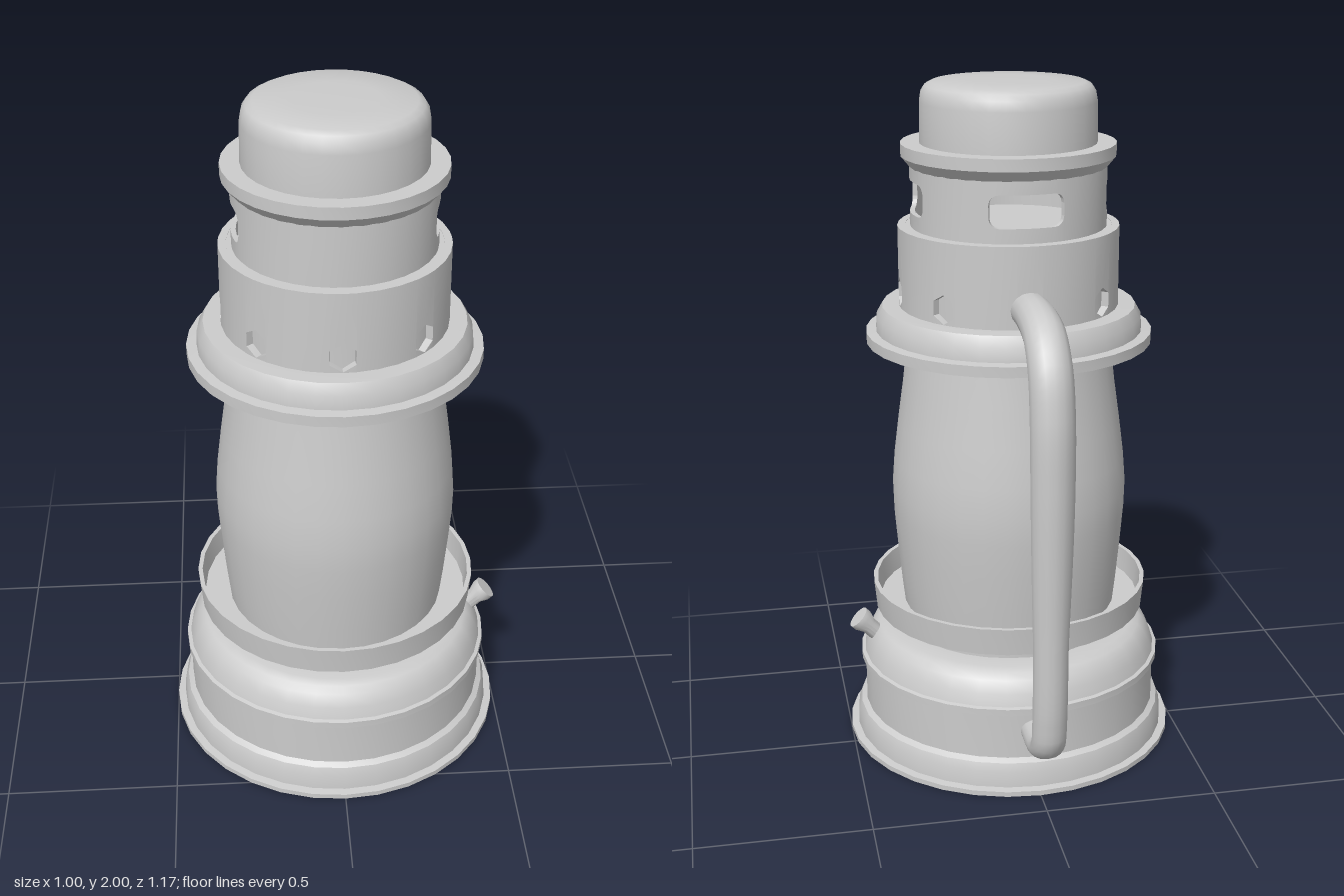
import * as THREE from 'three';
import { mergeGeometries, toCreasedNormals } from 'three/addons/utils/BufferGeometryUtils.js';

const AXIS_Z = 0.085; // the round body stands forward of centre, the handle behind it
const SIDES = 32;

export function createModel() {
  const model = new THREE.Group();
  model.name = 'lantern';
  const body = new THREE.Group();
  body.name = 'body';
  body.position.z = AXIS_Z;
  model.add(body);

  const material = new THREE.MeshStandardMaterial({ color: 0xcccccc });
  const add = (parent, name, geometry) => {
    const mesh = new THREE.Mesh(geometry, material);
    mesh.name = name;
    parent.add(mesh);
    return mesh;
  };

  // Turned part from [radius, height] pairs, listed from bottom to top
  const turned = (points, sides = SIDES, crease = 0.6) => toCreasedNormals(
    new THREE.LatheGeometry(points.map(([r, y]) => new THREE.Vector2(r, y)), sides), crease);

  // Cylindrical wall with openings. The opening is given as
  // [arc offset, half height] stations around each centre angle.
  function piercedWall(r, thick, y0, y1, yc, centres, opening) {
    const stations = [];
    centres.forEach((c, i) => {
      opening.forEach(([dx, h]) => stations.push([c + dx / r, h]));
      const start = c + opening[opening.length - 1][0] / r;
      const next = i + 1 < centres.length ? centres[i + 1] : centres[0] + Math.PI * 2;
      const end = next + opening[0][0] / r;
      const n = Math.ceil((end - start) / 0.19);
      for (let k = 0; k <= n; k++) stations.push([start + (end - start) * k / n, 0]);
    });
    const pieces = [];
    const panel = (a, b, la, lb, ha, hb) => {
      const shape = new THREE.Shape([
        new THREE.Vector2(a, la), new THREE.Vector2(b, lb),
        new THREE.Vector2(b, hb), new THREE.Vector2(a, ha)]);
      pieces.push(new THREE.ExtrudeGeometry(shape, { depth: thick, bevelEnabled: false }));
    };
    for (let i = 0; i + 1 < stations.length; i++) {
      const [a, ha] = stations[i];
      const [b, hb] = stations[i + 1];
      if (b - a < 1e-5) continue;
      if (ha > 0 && hb > 0) {
        panel(a, b, y0, y0, yc - ha, yc - hb);
        panel(a, b, yc + ha, yc + hb, y1, y1);
      } else panel(a, b, y0, y0, y1, y1);
    }
    const geometry = mergeGeometries(pieces);
    // Bend the flat strip around the axis
    const p = geometry.attributes.position;
    for (let i = 0; i < p.count; i++) {
      const angle = p.getX(i), radius = r - thick + p.getZ(i);
      p.setXYZ(i, Math.sin(angle) * radius, p.getY(i), Math.cos(angle) * radius);
    }
    return toCreasedNormals(geometry, 0.5);
  }

  // Fuel tank with foot, bead and rounded shoulder
  add(body, 'base', turned([
    [0, 0], [0.5, 0], [0.5, 0.015], [0.478, 0.018], [0.475, 0.065], [0.466, 0.09], [0.45, 0.1],
    [0.45, 0.24], [0.461, 0.242], [0.461, 0.262], [0.45, 0.265], [0.44, 0.3], [0.422, 0.335],
    [0.404, 0.352], [0.38, 0.36], [0.33, 0.362], [0.33, 0.42], [0, 0.42]]));

  // Open dish around the foot of the globe
  add(body, 'globeDish', turned([
    [0, 0.412], [0.41, 0.412], [0.418, 0.495], [0.405, 0.495], [0.397, 0.425], [0, 0.425]]));

  add(body, 'globe', turned([
    [0.322, 0.42], [0.331, 0.5], [0.342, 0.62], [0.35, 0.72], [0.352, 0.8],
    [0.345, 0.89], [0.331, 1.0], [0.314, 1.12], [0.298, 1.26]]));

  // Stepped collar resting on the globe
  add(body, 'collar', turned([
    [0, 1.25], [0.419, 1.25], [0.419, 1.281], [0.39, 1.284], [0.387, 1.325],
    [0.37, 1.355], [0.3, 1.357], [0, 1.357]]));

  // Lower chimney with hexagonal vents and an inner liner
  const around = (n) => Array.from({ length: n }, (_, i) => i * Math.PI * 2 / n);
  add(body, 'ventBand', piercedWall(0.32, 0.022, 1.35, 1.59, 1.4, around(8),
    [[-0.036, 0.021], [0, 0.042], [0.036, 0.021]]));
  add(body, 'ventLiner', turned([[0.299, 1.35], [0.299, 1.589], [0, 1.589]]));

  // Upper chimney with rounded slots on both sides and the back
  const slot = [];
  const corner = 0.028, halfW = 0.108, halfH = 0.046;
  for (let i = 0; i <= 4; i++) {
    const a = i / 4 * Math.PI / 2;
    slot.push([-halfW + corner * (1 - Math.cos(a)), halfH - corner * (1 - Math.sin(a))]);
  }
  const mirrored = slot.map(([x, h]) => [-x, h]).reverse();
  const middle = [-0.04, 0, 0.04].map((x) => [x, halfH]);
  add(body, 'slottedChimney', piercedWall(0.283, 0.014, 1.585, 1.765, 1.677,
    [Math.PI / 2, Math.PI, Math.PI * 1.5], [...slot, ...middle, ...mirrored]));

  // Flange and cap
  add(body, 'capFlange', turned([
    [0, 1.76], [0.283, 1.76], [0.308, 1.79], [0.308, 1.825], [0, 1.825]]));
  add(body, 'cap', turned([
    [0.254, 1.82], [0.252, 1.94], [0.247, 1.968], [0.236, 1.985], [0.218, 1.994],
    [0.12, 1.998], [0, 2]], SIDES, 0.7));

  // Wick knob leaning out from the left shoulder
  const knob = add(body, 'wickKnob', turned([
    [0.026, -0.03], [0.026, 0.06], [0.036, 0.085], [0.036, 0.102], [0, 0.102]], 16));
  knob.position.set(0.398, 0.308, 0);
  knob.rotation.z = -Math.PI / 4;

  // Back handle: a tube whose section turns from round to a flatter oval
  const path = new THREE.CatmullRomCurve3([
    [1.41, -0.21], [1.412, -0.33], [1.39, -0.43], [1.32, -0.5], [1.2, -0.533], [1.0, -0.543],
    [0.6, -0.535], [0.3, -0.525], [0.225, -0.509], [0.192, -0.465], [0.186, -0.34],
  ].map(([y, z]) => new THREE.Vector3(0, y, z)));
  const steps = 60, ring = 16;
  const tube = new THREE.TubeGeometry(path, steps, 0.05, ring);
  const p = tube.attributes.position;
  const v = new THREE.Vector3();
  for (let i = 0; i < p.count; i++) {
    const t = Math.floor(i / (ring + 1)) / steps;
    const centre = path.getPointAt(t);
    const depth = 1.02 - 0.2 * THREE.MathUtils.smoothstep(t, 0.08, 0.4)
      - 0.1 * THREE.MathUtils.smoothstep(t, 0.8, 0.95);
    const width = 1 + 0.24 * Math.sin(Math.PI * Math.min(1, t * 1.3 + 0.1));
    v.fromBufferAttribute(p, i).sub(centre).multiply(new THREE.Vector3(width, depth, depth)).add(centre);
    p.setXYZ(i, v.x, v.y, v.z);
  }
  add(model, 'handle', tube);

  return model;
}
